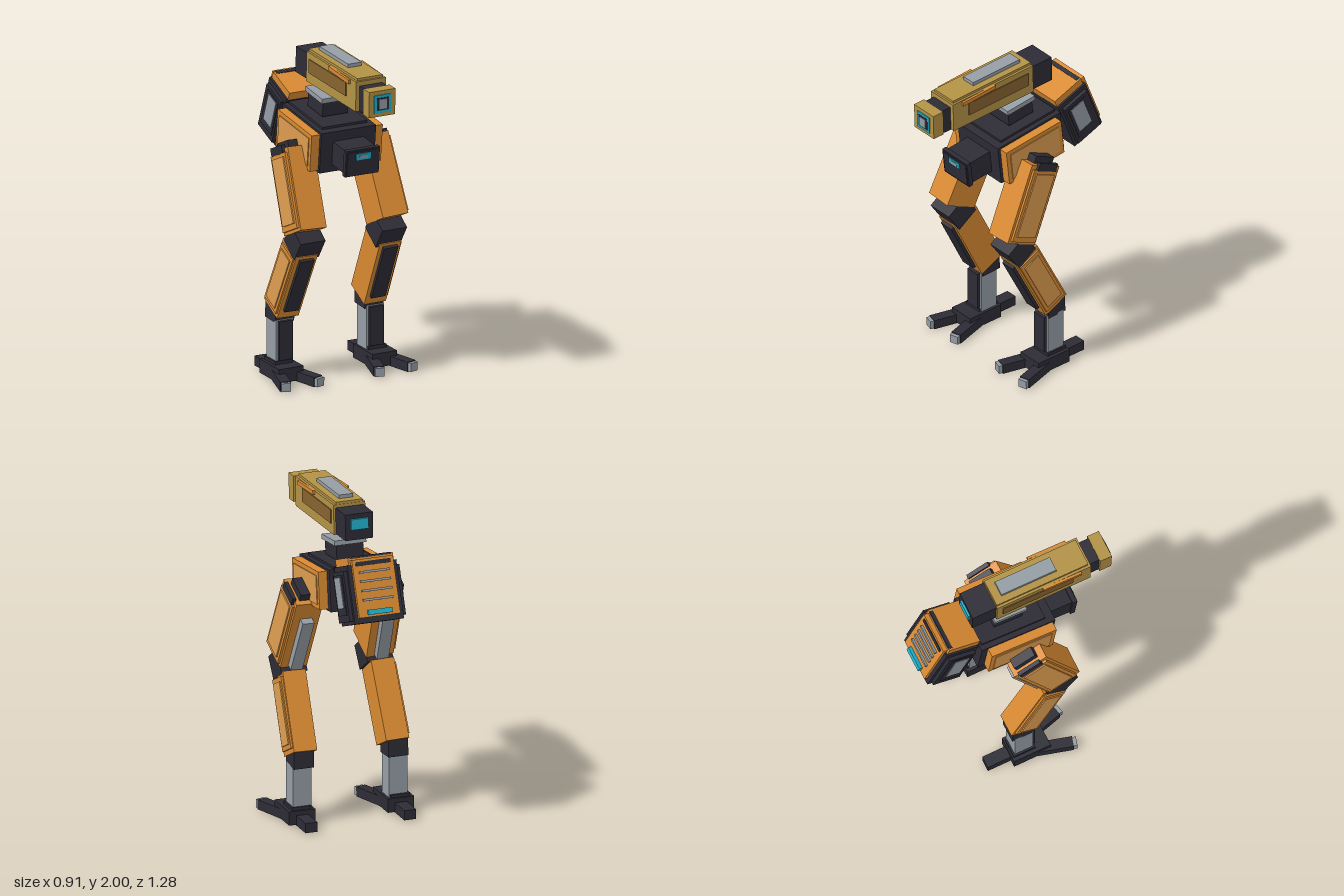
import * as THREE from 'three';

const mat = (name, color) => {
  const m = new THREE.MeshStandardMaterial({ color });
  m.name = name;
  return m;
};

export function createModel() {
  const orange = mat('orange', 0xd98a32), pale = mat('pale orange', 0xdc9c50);
  const gold = mat('gold', 0xb39245), brown = mat('brown', 0x86632f);
  const dark = mat('charcoal', 0x2d2c36), grey = mat('grey', 0x959da5), cyan = mat('cyan', 0x22b2cf);

  const root = new THREE.Group();
  root.name = 'walker';

  const group = (name, parent, x, y, z, rx = 0, ry = 0, rz = 0) => {
    const g = new THREE.Group();
    g.name = name;
    g.position.set(x, y, z);
    g.rotation.set(rx, ry, rz);
    parent.add(g);
    return g;
  };
  // Box sized [width, height, depth] and centred at [x, y, z]
  const box = (parent, name, material, size, pos, rx = 0) => {
    const m = new THREE.Mesh(new THREE.BoxGeometry(...size), material);
    m.name = name;
    m.position.set(...pos);
    m.rotation.x = rx;
    parent.add(m);
    return m;
  };

  // Head: a long housing, nose slightly down
  const head = group('head', root, 0, 1.866, 0.18, 0.03);
  box(head, 'headHousing', gold, [0.2, 0.185, 0.615], [0, -0.002, 0]);
  box(head, 'headCap', gold, [0.17, 0.02, 0.6], [0, 0.096, -0.005]);
  box(head, 'topPlate', grey, [0.09, 0.022, 0.36], [0, 0.119, -0.075]);
  box(head, 'chinPlate', dark, [0.1, 0.025, 0.42], [0, -0.105, 0.125]);
  box(head, 'collar', dark, [0.15, 0.155, 0.1], [0, -0.015, 0.33]);
  box(head, 'muzzle', gold, [0.175, 0.16, 0.076], [0, -0.012, 0.412]);
  box(head, 'lensFrame', cyan, [0.11, 0.11, 0.008], [0, -0.012, 0.453]);
  box(head, 'lensRing', dark, [0.078, 0.078, 0.008], [0, -0.012, 0.456]);
  box(head, 'lens', grey, [0.05, 0.06, 0.008], [0, -0.012, 0.459]);
  box(head, 'rearBlock', dark, [0.175, 0.16, 0.165], [0, -0.008, -0.38]);
  box(head, 'rearLight', cyan, [0.11, 0.065, 0.014], [0, 0.01, -0.469]);
  for (const s of [-1, 1]) {
    box(head, 'cheekPanel', brown, [0.008, 0.085, 0.46], [s * 0.102, 0.01, -0.04]);
    box(head, 'cheekStripe', orange, [0.016, 0.025, 0.25], [s * 0.107, 0.076, 0.115], 0.04);
  }

  // Neck
  const neck = group('neck', root, 0, 1.66, -0.043, 0.11);
  box(neck, 'neckBlock', dark, [0.17, 0.09, 0.185], [0, 0, 0]);
  box(neck, 'neckPlate', grey, [0.2, 0.03, 0.21], [0, 0.06, 0]);

  // Torso
  const torso = group('torso', root, 0, 1.463, -0.04, 0.11);
  box(torso, 'torsoCore', dark, [0.365, 0.255, 0.485], [0, 0, 0]);
  box(torso, 'deck', dark, [0.3, 0.02, 0.42], [0, 0.132, -0.02]);
  for (const s of [-1, 1]) {
    box(torso, 'sideArmour', orange, [0.055, 0.23, 0.425], [s * 0.21, 0, 0.012]);
    box(torso, 'sidePanel', pale, [0.008, 0.175, 0.37], [s * 0.239, 0, 0.012]);
  }

  // Front sensor box
  const nose = group('sensorBox', root, 0, 1.42, 0.29, 0.11);
  box(nose, 'sensorHousing', dark, [0.205, 0.145, 0.2], [0, 0, 0]);
  box(nose, 'sensorFlange', dark, [0.225, 0.165, 0.03], [0, 0, 0.08]);
  box(nose, 'sensorWindow', cyan, [0.095, 0.04, 0.008], [0, 0.055 - 0.015, 0.102]);
  box(nose, 'sensorGlass', grey, [0.055, 0.02, 0.008], [0, 0.04, 0.104]);

  // Backpack, leaning back at the bottom
  const pack = group('backpack', root, 0, 1.51, -0.443, 0.37);
  box(pack, 'packCore', dark, [0.31, 0.35, 0.225], [0, 0, 0]);
  box(pack, 'packTop', orange, [0.285, 0.05, 0.215], [0, 0.195, 0.005]);
  box(pack, 'backPlate', orange, [0.26, 0.345, 0.03], [0, 0.03, -0.118]);
  box(pack, 'topVent', dark, [0.26, 0.012, 0.025], [0, 0.217, -0.09]);
  box(pack, 'backVent', dark, [0.22, 0.025, 0.008], [0, 0.175, -0.134]);
  for (let i = 0; i < 4; i++)
    box(pack, 'slat', grey, [0.19, 0.014, 0.016], [0, 0.125 - i * 0.055, -0.139]);
  box(pack, 'backLight', cyan, [0.15, 0.03, 0.025], [0, -0.115, -0.142]);
  for (const s of [-1, 1]) {
    box(pack, 'sidePod', dark, [0.025, 0.3, 0.185], [s * 0.165, -0.005, 0]);
    box(pack, 'podRim', dark, [0.012, 0.24, 0.14], [s * 0.176, 0.005, 0.005]);
    box(pack, 'podPanel', grey, [0.008, 0.185, 0.098], [s * 0.182, 0.02, 0.01]);
  }

  // Legs, mirrored by the side sign s
  for (const s of [-1, 1]) {
    const leg = group(s > 0 ? 'leftLeg' : 'rightLeg', root, 0, 0, 0);

    const thigh = group('thigh', leg, s * 0.262, 1.19, 0.08, -0.43, 0, s * 0.045);
    box(thigh, 'thighCore', orange, [0.17, 0.5, 0.23], [0, 0, 0]);
    box(thigh, 'thighArmour', orange, [0.02, 0.455, 0.195], [s * 0.09, -0.005, 0]);
    box(thigh, 'thighPanel', pale, [0.01, 0.4, 0.15], [s * 0.103, 0, 0]);
    box(thigh, 'thighPiston', grey, [0.075, 0.37, 0.045], [0, -0.05, -0.138]);
    box(thigh, 'hipJoint', dark, [0.15, 0.06, 0.15], [s * -0.02, 0.265, -0.005]);
    box(thigh, 'hipCap', dark, [0.025, 0.05, 0.15], [s * 0.09, 0.245, -0.005]);

    box(leg, 'knee', dark, [0.165, 0.15, 0.155], [s * 0.272, 0.905, 0.172], 0.6);

    const shin = group('shin', leg, s * 0.285, 0.645, 0.026, 0.465, 0, s * 0.025);
    box(shin, 'shinCore', orange, [0.145, 0.485, 0.18], [0, 0, 0]);
    box(shin, 'shinArmour', orange, [0.014, 0.43, 0.155], [s * 0.077, 0, 0]);
    box(shin, 'shinPanel', pale, [0.01, 0.375, 0.115], [s * 0.086, 0, 0]);
    box(shin, 'shinGuard', dark, [0.095, 0.4, 0.022], [0, 0.02, 0.099]);

    box(leg, 'ankle', dark, [0.125, 0.12, 0.13], [s * 0.298, 0.415, -0.088], 0.05);
    box(leg, 'shank', grey, [0.115, 0.27, 0.118], [s * 0.303, 0.235, -0.08]);
    box(leg, 'shankGuard', dark, [0.09, 0.24, 0.022], [s * 0.303, 0.245, -0.011]);

    // Foot with two front toes and a heel
    const foot = group('foot', leg, s * 0.312, 0, 0);
    box(foot, 'footHub', dark, [0.165, 0.085, 0.24], [0, 0.058, -0.04]);
    box(foot, 'footCap', dark, [0.12, 0.03, 0.14], [0, 0.105, -0.08]);
    box(foot, 'heel', dark, [0.075, 0.06, 0.2], [0, 0.042, -0.21]);
    for (const t of [-1, 1]) {
      const toe = group('toe', foot, t * 0.045, 0.042, -0.02, 0.02, t * 0.27);
      box(toe, 'toeBar', dark, [0.065, 0.06, 0.25], [0, 0, 0.115]);
      box(toe, 'toeTip', grey, [0.056, 0.052, 0.025], [0, 0, 0.25]);
    }
  }
  return root;
}
